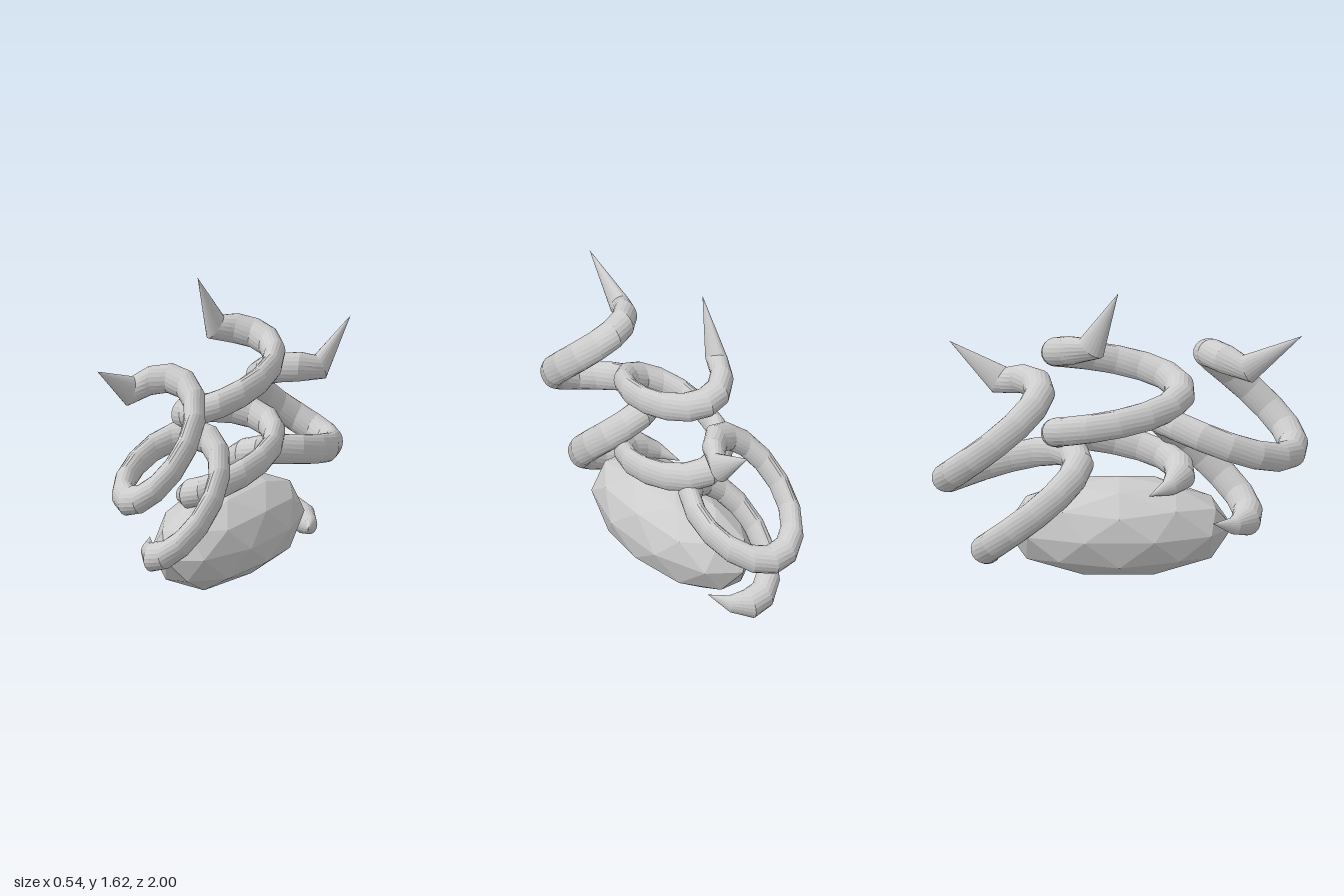
import * as THREE from 'three';

const SQUASH = 0.58;    // the coils are narrower in x than in z
const COIL_R = 0.335, TUBE_R = 0.08, PITCH = 0.452;
const START = -0.17, END = 1.68, STEPS = 26, SIDES = 20;

const material = new THREE.MeshStandardMaterial({ color: 0xcccccc, flatShading: true });

// Faceted oval body, slightly flattened underneath
function makeBody() {
  const g = new THREE.IcosahedronGeometry(1, 1);
  g.rotateX(-Math.atan((1 + Math.sqrt(5)) / 2));
  g.rotateY(-Math.PI / 2);
  g.scale(0.285, 0.285, 0.605);
  g.translate(0, 0.245, -0.01);
  const p = g.attributes.position;
  for (let i = 0; i < p.count; i++) {
    const x = p.getX(i);
    p.setY(i, Math.max(p.getY(i), 1.4 * x * x));
  }
  g.computeVertexNormals();
  const body = new THREE.Mesh(g, material);
  body.name = 'body';
  return body;
}

// Coiled tentacle: a tube swept on a helix leaning forward by `tilt`, ending in a spike
function makeTentacle(name, y, z, tilt) {
  const axis = new THREE.Vector3(0, Math.cos(tilt), Math.sin(tilt));
  const low = new THREE.Vector3(0, -Math.sin(tilt), Math.cos(tilt));
  const radial = t => low.clone().multiplyScalar(Math.cos(2 * Math.PI * t))
    .add(new THREE.Vector3(Math.sin(2 * Math.PI * t), 0, 0));
  const helix = t => new THREE.Vector3(0, y, z)
    .addScaledVector(radial(t), COIL_R).addScaledVector(axis, t * PITCH);

  // Ring centres with their radii: tapered root, even coil, spike
  const rings = [];
  for (let i = 0; i <= STEPS; i++) {
    const t = START + (END - START) * i / STEPS;
    rings.push({ t, c: helix(t), r: TUBE_R * Math.min(1, (t - START) / 0.12) });
  }
  rings.push({ t: 1.75, c: helix(1.75).addScaledVector(axis, 0.28), r: 0 });

  const pos = [], index = [];
  rings.forEach(({ t, c, r }, i) => {
    const a = rings[Math.max(i - 1, 0)].c, b = rings[Math.min(i + 1, rings.length - 1)].c;
    const tangent = b.clone().sub(a).normalize();
    const n = radial(t);
    n.addScaledVector(tangent, -n.dot(tangent)).normalize();
    const side = tangent.clone().cross(n);
    for (let j = 0; j < SIDES; j++) {
      const f = 2 * Math.PI * j / SIDES;
      const v = c.clone().addScaledVector(n, r * Math.cos(f)).addScaledVector(side, r * Math.sin(f));
      pos.push(v.x * SQUASH, v.y, v.z);
      if (i < rings.length - 1) {
        const k = (j + 1) % SIDES, o = i * SIDES, u = o + SIDES;
        index.push(o + j, o + k, u + k, o + j, u + k, u + j);
      }
    }
  });
  const g = new THREE.BufferGeometry();
  g.setAttribute('position', new THREE.Float32BufferAttribute(pos, 3));
  g.setIndex(index);
  g.computeVertexNormals();
  const mesh = new THREE.Mesh(g, material);
  mesh.name = name;
  return mesh;
}

export function createModel() {
  const model = new THREE.Group();
  model.name = 'tentacledCreature';
  const back = makeTentacle('backTentacle', 0.27, 0.42, 0.47);
  back.rotation.y = Math.PI;
  model.add(
    makeBody(),
    makeTentacle('frontTentacle', 0.47, 0.39, 0.56),
    makeTentacle('middleTentacle', 0.55, -0.015, 0),
    back
  );
  return model;
}
